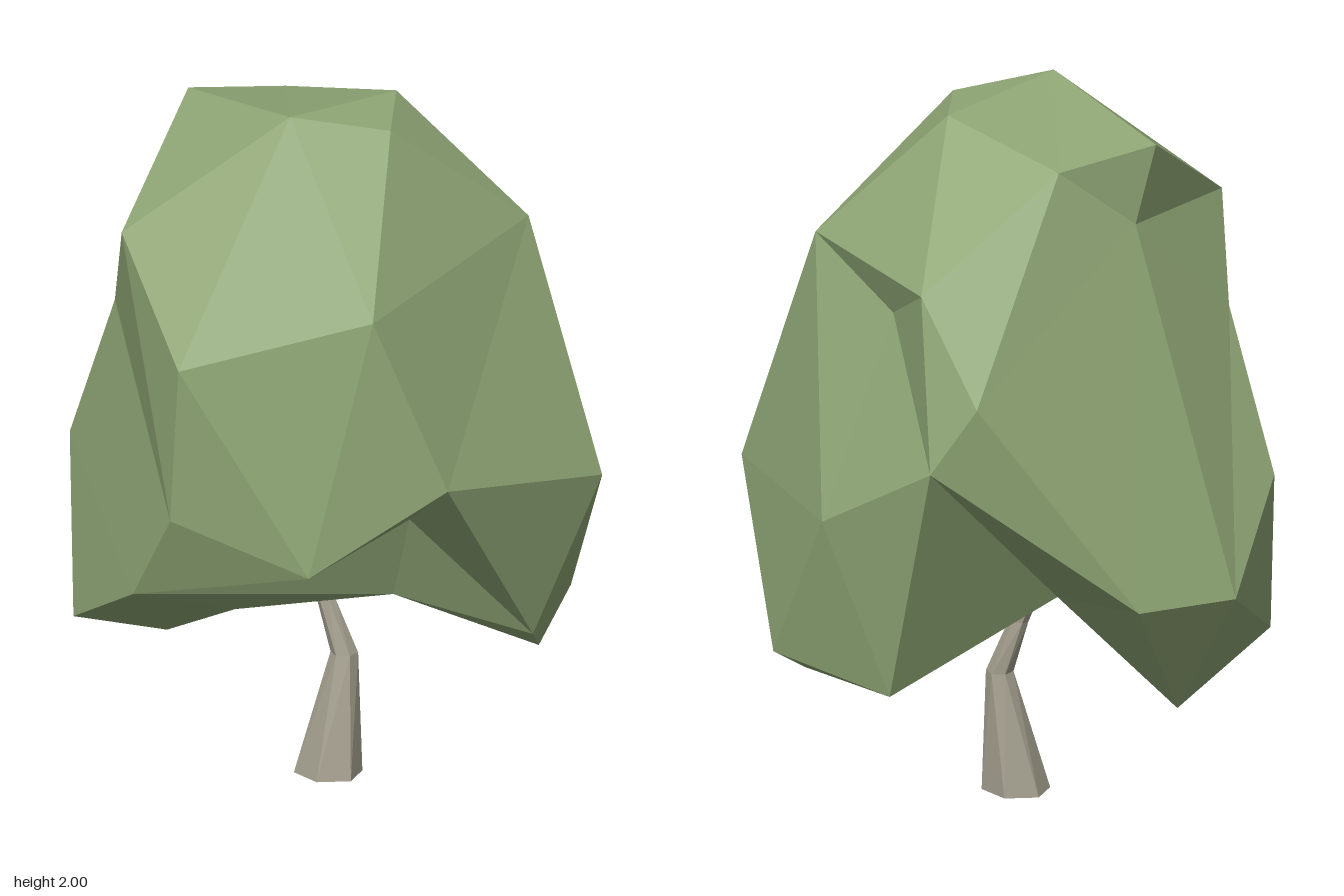
import * as THREE from 'three';

// Faceted skin over rings of points (top to bottom, each running +x, +z, -x, -z).
// flips[r] lists the columns whose quad is split along the other diagonal.
function loft(rings, flips = [], topFan = 0, bottomFan = 0) {
  const pos = [];
  const tri = (a, b, c) => {
    if (a !== b && b !== c && a !== c) pos.push(...a, ...b, ...c);
  };
  const n = rings[0].length;
  for (let r = 0; r < rings.length - 1; r++) {
    for (let i = 0; i < n; i++) {
      const j = (i + 1) % n;
      const a = rings[r][i], b = rings[r][j], c = rings[r + 1][i], d = rings[r + 1][j];
      if (flips[r]?.includes(i)) { tri(a, b, c); tri(b, d, c); }
      else { tri(a, b, d); tri(a, d, c); }
    }
  }
  // end caps
  const top = rings[0], bottom = rings[rings.length - 1];
  for (let i = 0; i < n; i++) {
    const j = (i + 1) % n;
    tri(top[topFan], top[j], top[i]);
    tri(bottom[bottomFan], bottom[i], bottom[j]);
  }
  const geo = new THREE.BufferGeometry();
  geo.setAttribute('position', new THREE.Float32BufferAttribute(pos, 3));
  geo.computeVertexNormals();
  return geo;
}

// Fill in shared points: UP reuses the point above, SIDE the previous one in the ring
const UP = 'up', SIDE = 'side';
function share(rings) {
  const out = [];
  for (const ring of rings) {
    const above = out[out.length - 1], full = [];
    ring.forEach((p, i) => full.push(p === UP ? above[i] : p === SIDE ? full[i - 1] : p));
    out.push(full);
  }
  return out;
}

function foliageGeometry() {
  const tip = [-0.46, 0.32, 0.13];   // lowest point of the left lobe
  const heel = [0.43, 0.36, -0.41];  // lowest point of the back lobe
  const rings = share([
    // crown
    [[0.30, 1.95, 0.04], [0.12, 2.0, 0.25], SIDE, [-0.37, 1.93, 0.14], SIDE,
      [-0.26, 1.89, -0.13], SIDE, [0.13, 1.97, -0.16], SIDE],
    // shoulder
    [[0.53, 1.53, 0.35], SIDE, [0.09, 1.36, 0.66], [-0.22, 1.66, 0.56], [-0.35, 1.71, 0.08],
      [-0.35, 1.33, -0.55], [-0.14, 1.61, -0.55], SIDE, [0.42, 1.62, -0.38]],
    // belly
    [[0.66, 1.03, 0.19], [0.43, 0.80, 0.50], [0.05, 0.91, 0.65], [-0.37, 1.39, 0.43], UP,
      UP, [-0.25, 1.14, -0.63], [0.06, 1.49, -0.45], UP],
    // skirt
    [UP, UP, [-0.13, 0.64, 0.61], [-0.56, 0.95, 0.41], [-0.68, 0.69, 0.13],
      [-0.61, 0.71, -0.18], UP, [0.13, 0.92, -0.66], [0.67, 0.92, -0.41]],
    // hem
    [[0.58, 0.48, -0.23], [0.42, 0.86, 0.09], UP, [-0.46, 0.46, 0.50], tip,
      [-0.16, 0.61, -0.03], [-0.04, 0.43, -0.57], SIDE, [0.37, 0.47, -0.60]],
    // underside
    [heel, [0.31, 0.60, 0.04], [-0.05, 0.53, 0.29], tip, UP, UP, UP, UP, heel],
  ]);
  return loft(rings, [[4, 8], [1, 2], [7], [3, 4, 5], [1]], 1, 5);
}

// Bent six-sided trunk: centre, radii and twist at each level
function trunkGeometry() {
  const levels = [
    { c: [-0.06, 0.62, -0.01], rx: 0.025, rz: 0.02, twist: 0.6 },
    { c: [0.0, 0.50, -0.015], rx: 0.03, rz: 0.022, twist: 0.6 },
    { c: [0.055, 0.345, -0.033], rx: 0.038, rz: 0.038, twist: 0.4 },
    { c: [0.03, 0, 0.005], rx: 0.1, rz: 0.09, twist: 0.15 },
  ];
  return loft(levels.map(({ c, rx, rz, twist }) =>
    Array.from({ length: 6 }, (_, i) => {
      const a = twist + i * Math.PI / 3;
      return [c[0] + rx * Math.cos(a), c[1], c[2] + rz * Math.sin(a)];
    })));
}

export function createModel() {
  const group = new THREE.Group();
  group.name = 'tree';
  const add = (name, geometry, color) => {
    const material = new THREE.MeshStandardMaterial({ color, flatShading: true });
    const mesh = new THREE.Mesh(geometry, material);
    mesh.name = name;
    group.add(mesh);
  };
  add('foliage', foliageGeometry(), 0x8fa675);
  add('trunk', trunkGeometry(), 0xa5a08f);
  return group;
}
